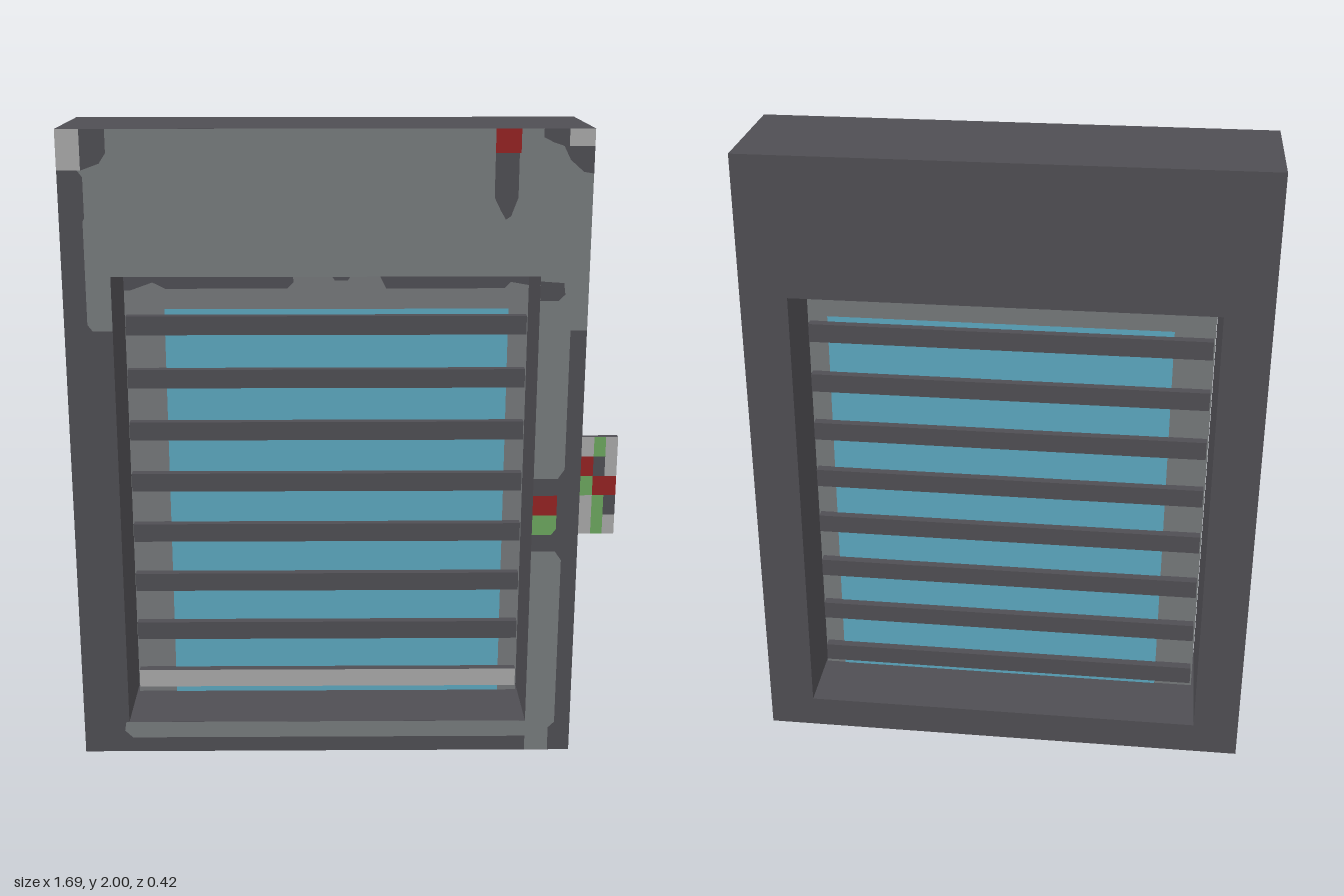
import * as THREE from 'three';

const mat = (name, color, side = THREE.FrontSide) => {
  const m = new THREE.MeshStandardMaterial({ color, side });
  m.name = name;
  return m;
};

export function createModel() {
  const dark = mat('dark metal', 0x4f4e53);
  const grey = mat('grey paint', 0x777b7d);
  const light = mat('light grey', 0xa9a9a9);
  const red = mat('red', 0x942222);
  const green = mat('green', 0x6ca65e);
  const glass = mat('blue glass', 0x5ca7bf, THREE.DoubleSide);
  const trim = mat('pane grey', 0x75787a, THREE.DoubleSide);
  const darkTrim = mat('pane dark', 0x4f4e54, THREE.DoubleSide);

  const model = new THREE.Group();
  model.name = 'shutteredWindow';
  const Z = 0.21;

  const add = (name, geo, material, z = 0) => {
    const m = new THREE.Mesh(geo, material);
    m.name = name;
    m.position.z = z;
    model.add(m);
    return m;
  };
  const poly = (pts) => new THREE.Shape(pts.map(([x, y]) => new THREE.Vector2(x, y)));
  const rectPts = (x0, x1, y0, y1) => [[x0, y0], [x1, y0], [x1, y1], [x0, y1]];
  const plate = (name, pts, material, z) => add(name, new THREE.ShapeGeometry(poly(pts)), material, z);
  const rect = (name, x0, x1, y0, y1, material, z) => plate(name, rectPts(x0, x1, y0, y1), material, z);

  // Thick frame with a through opening
  const opening = rectPts(-0.7, 0.585, 0.105, 1.565);
  const frame = poly(rectPts(-0.845, 0.73, 0, 2));
  frame.holes.push(poly(opening));
  add('frame', new THREE.ExtrudeGeometry(frame, { depth: 2 * Z, bevelEnabled: false }), dark, -Z);

  // Grey paint on the front, flaked away along the edges
  plate('frontPaint', [
    [-0.845, 2], [-0.845, 1.88], [-0.785, 1.88], [-0.77, 1.86], [-0.77, 1.74],
    [-0.775, 1.73], [-0.775, 1.42], [-0.76, 1.4], [-0.7, 1.4],
    [-0.7, 1.565], [0.585, 1.565], [0.585, 0.93], [0.66, 0.93], [0.68, 0.96],
    [0.68, 1.4], [0.73, 1.4], [0.73, 2],
  ], grey, Z + 0.001);
  plate('lowerPaint', [
    [-0.71, 0.105], [-0.715, 0.075], [-0.69, 0.05], [0.585, 0.05], [0.585, 0],
    [0.66, 0], [0.66, 0.08], [0.68, 0.1], [0.68, 0.66], [0.66, 0.69],
    [0.585, 0.69], [0.585, 0.105],
  ], grey, Z + 0.001);

  // Chips, corner plates and marker on the front
  const F = Z + 0.002;
  rect('cornerPlateLeft', -0.845, -0.775, 1.88, 2, light, F);
  plate('cornerChipLeft', [[-0.775, 2], [-0.775, 1.88], [-0.72, 1.9], [-0.7, 1.93], [-0.7, 2]], dark, F);
  rect('cornerPlateRight', 0.655, 0.73, 1.95, 2, light, F);
  plate('cornerChipTop', [[0.58, 2], [0.58, 1.975], [0.61, 1.96], [0.655, 1.945], [0.655, 2]], dark, F);
  plate('cornerChipSide', [[0.64, 1.95], [0.66, 1.91], [0.7, 1.875], [0.73, 1.87], [0.73, 1.95]], dark, F);
  rect('redMarker', 0.44, 0.515, 1.93, 2, red, F);
  plate('markerStreak', [[0.44, 1.93], [0.44, 1.8], [0.46, 1.76], [0.475, 1.735], [0.49, 1.745], [0.51, 1.8], [0.51, 1.93]], dark, F);
  plate('sideChip', [[0.585, 1.49], [0.64, 1.49], [0.66, 1.51], [0.655, 1.545], [0.585, 1.55]], dark, F);
  rect('redButton', 0.585, 0.66, 0.81, 0.875, red, F);
  plate('greenButton', [[0.585, 0.745], [0.645, 0.745], [0.66, 0.765], [0.66, 0.81], [0.585, 0.81]], green, F);

  // Thin pane in the middle of the opening, painted the same on both faces
  rect('paneBorder', -0.69, 0.577, 0.115, 1.555, trim, 0);
  for (const s of [-1, 1]) {
    rect('glass', -0.565, 0.515, 0.115, 1.425, glass, s * 0.002);
    plate('paneStainLeft', [[-0.69, 1.555], [-0.69, 1.485], [-0.67, 1.485], [-0.6, 1.51], [-0.56, 1.49], [-0.18, 1.49], [-0.16, 1.51], [-0.16, 1.555]], darkTrim, s * 0.003);
    plate('paneStainMiddle', [[-0.07, 1.555], [-0.07, 1.53], [-0.04, 1.53], [-0.03, 1.515], [0.01, 1.515], [0.02, 1.53], [0.02, 1.555]], darkTrim, s * 0.003);
    plate('paneStainRight', [[0.1, 1.555], [0.115, 1.52], [0.13, 1.49], [0.5, 1.49], [0.52, 1.51], [0.577, 1.5], [0.577, 1.555]], darkTrim, s * 0.003);
  }

  // Horizontal slats; the lowest has a light front
  for (let i = 0; i < 8; i++) {
    const front = i === 0 ? light : dark;
    const slat = add('slat', new THREE.BoxGeometry(1.255, 0.06, 0.06), [dark, dark, dark, dark, front, dark]);
    slat.position.set(-0.057, 0.175 + i * 0.1718, 0);
  }

  // Side handle with a checkered front
  const handle = add('handle', new THREE.BoxGeometry(0.112, 0.315, 0.019), dark);
  handle.position.set(0.785, 0.907, 0.2);
  const cols = [0.73, 0.768, 0.804, 0.841];
  const cells = [
    [light, green, light],
    [light, green, dark],
    [green, red, red],
    [red, dark, light],
    [light, green, light],
  ];
  cells.forEach((row, r) => row.forEach((m, c) =>
    rect('handleCell', cols[c], cols[c + 1], 0.75 + r * 0.063, 0.75 + (r + 1) * 0.063, m, Z + 0.001)));

  return model;
}
